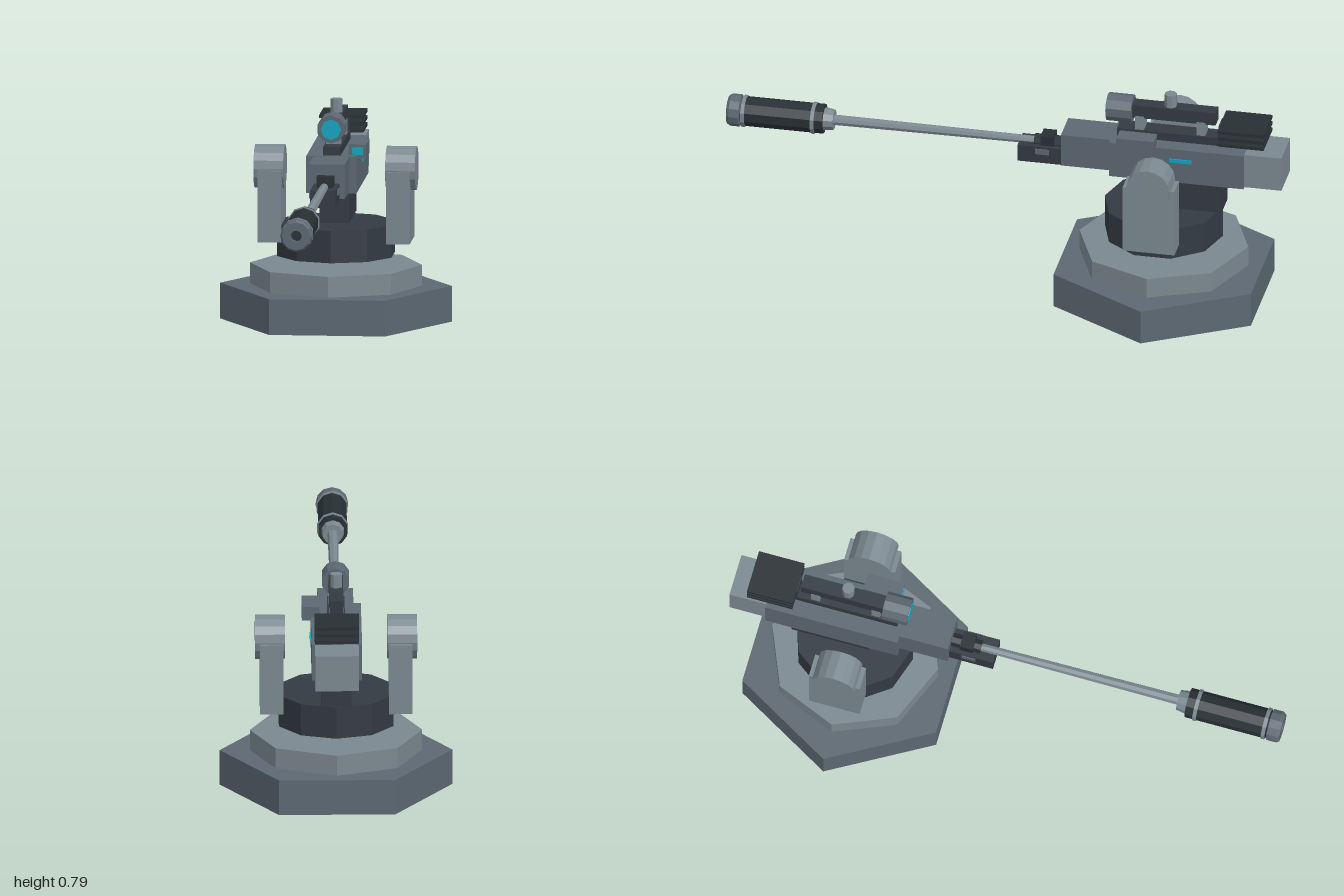
import * as THREE from 'three';

const mat = (color) => new THREE.MeshStandardMaterial({ color, flatShading: true });

export function createModel() {
  const model = new THREE.Group();
  const light = mat(0x7b8890), mid = mat(0x5c6872), dark = mat(0x333a42);
  const black = mat(0x272f33), cyan = mat(0x10a5c0);
  const AXIS_Z = -0.5625; // turret axis
  const BORE_Y = 0.545;   // barrel axis height

  const add = (name, geometry, material) => {
    const mesh = new THREE.Mesh(geometry, material);
    mesh.name = name;
    model.add(mesh);
    return mesh;
  };
  // Box given by its extents on each axis
  const box = (name, m, [x0, x1], [y0, y1], [z0, z1]) =>
    add(name, new THREE.BoxGeometry(x1 - x0, y1 - y0, z1 - z0), m)
      .position.set((x0 + x1) / 2, (y0 + y1) / 2, (z0 + z1) / 2);
  // Upright prism on the turret axis
  const prism = (name, m, r, sides, y0, y1, turn = 0, z = AXIS_Z) => {
    const mesh = add(name, new THREE.CylinderGeometry(r, r, y1 - y0, sides), m);
    mesh.position.set(0, (y0 + y1) / 2, z);
    mesh.rotation.y = turn;
  };
  // Prism along z, from back z0 (radius r0) to front z1 (radius r1)
  const rod = (name, m, r0, r1, z0, z1, y = BORE_Y, sides = 10) => {
    const g = new THREE.CylinderGeometry(r1, r0, z1 - z0, sides).rotateX(Math.PI / 2);
    add(name, g, m).position.set(0, y, (z0 + z1) / 2);
  };

  // Pedestal and turntable
  prism('base', mid, 0.409, 6, 0, 0.127, Math.PI / 6);
  prism('baseStep', light, 0.303, 8, 0.127, 0.201);
  prism('turntable', dark, 0.212, 10, 0.235, 0.35);
  box('neck', dark, [-0.052, 0.052], [0.355, 0.49], [-0.78, -0.5]);

  // Side arms with rounded pivots
  for (const s of [-1, 1]) {
    const side = s > 0 ? 'left' : 'right';
    const arm = add(side + 'Arm', new THREE.BoxGeometry(0.083, 0.254, 0.186), light);
    arm.position.set(s * 0.2265, 0.414, AXIS_Z);
    const pivot = add(side + 'Pivot',
      new THREE.CylinderGeometry(0.078, 0.078, 0.105, 16).rotateZ(Math.PI / 2), light);
    pivot.position.set(s * 0.2325, BORE_Y, AXIS_Z);
  }

  // Gun body
  box('receiver', mid, [-0.089, 0.088], [0.479, 0.611], [-0.866, -0.383]);
  box('frontBlock', mid, [-0.063, 0.063], [0.488, 0.61], [-0.383, -0.206]);
  box('rearBlock', light, [-0.077, 0.077], [0.482, 0.611], [-1.0, -0.866]);
  box('underGuard', dark, [-0.045, 0.045], [0.48, 0.542], [-0.373, -0.046]);
  box('barrelClamp', black, [-0.03, 0.03], [0.53, 0.577], [-0.172, -0.125]);
  box('guardBolt', mid, [-0.049, 0.049], [0.515, 0.535], [-0.16, -0.11]);
  box('statusLight', cyan, [0.088, 0.093], [0.56, 0.573], [-0.68, -0.6]);
  box('topRail', dark, [-0.031, 0.031], [0.611, 0.642], [-0.79, -0.4]);

  // Stacked cooling plates
  for (let i = 0; i < 3; i++) {
    const y = 0.635 + i * 0.025;
    box('coolingPlate', black, [-0.078, 0.078], [y, y + 0.011], [-0.936, -0.77]);
  }
  box('plateSpine', dark, [-0.03, 0.03], [0.605, 0.69], [-0.79, -0.765]);

  // Barrel and muzzle
  rod('barrel', light, 0.014, 0.019, -0.21, 0.63, BORE_Y, 8);
  rod('barrelSleeve', black, 0.025, 0.025, -0.21, -0.1, BORE_Y, 8);
  rod('muzzleCollar', light, 0.036, 0.042, 0.62, 0.66);
  rod('muzzleBody', black, 0.053, 0.053, 0.655, 0.95);
  for (const z of [0.685, 0.935]) rod('muzzleRing', light, 0.057, 0.057, z, z + 0.013);

  // Muzzle cap with a recessed bore
  const profile = [[0.02, 0.97], [0.02, 1.0], [0.05, 1.0], [0.057, 0.99], [0.057, 0.955], [0.03, 0.948]]
    .map(([r, z]) => new THREE.Vector2(r, z)).reverse();
  const cap = add('muzzleCap', new THREE.LatheGeometry(profile, 12).rotateX(Math.PI / 2),
    new THREE.MeshStandardMaterial({ color: 0x5c6872, flatShading: true, side: THREE.DoubleSide }));
  cap.position.y = BORE_Y;
  rod('bore', black, 0.021, 0.021, 0.94, 0.975);

  // Scope on two posts
  for (const z of [-0.48, -0.7])
    box('scopePost', light, [-0.026, 0.026], [0.635, 0.695], [z - 0.016, z + 0.016]);
  box('scopeBody', dark, [-0.025, 0.025], [0.688, 0.737], [-0.753, -0.445]);
  rod('scopeHood', mid, 0.05, 0.05, -0.453, -0.362, 0.71, 10);
  rod('scopeLens', cyan, 0.036, 0.036, -0.38, -0.359, 0.709, 8);
  prism('scopeKnob', light, 0.022, 8, 0.735, 0.785, Math.PI / 8, -0.587);

  // Side sight
  box('sideSight', mid, [0.058, 0.12], [0.6, 0.65], [-0.55, -0.416]);
  box('sideSightLens', cyan, [0.07, 0.108], [0.613, 0.638], [-0.43, -0.413]);

  return model;
}
